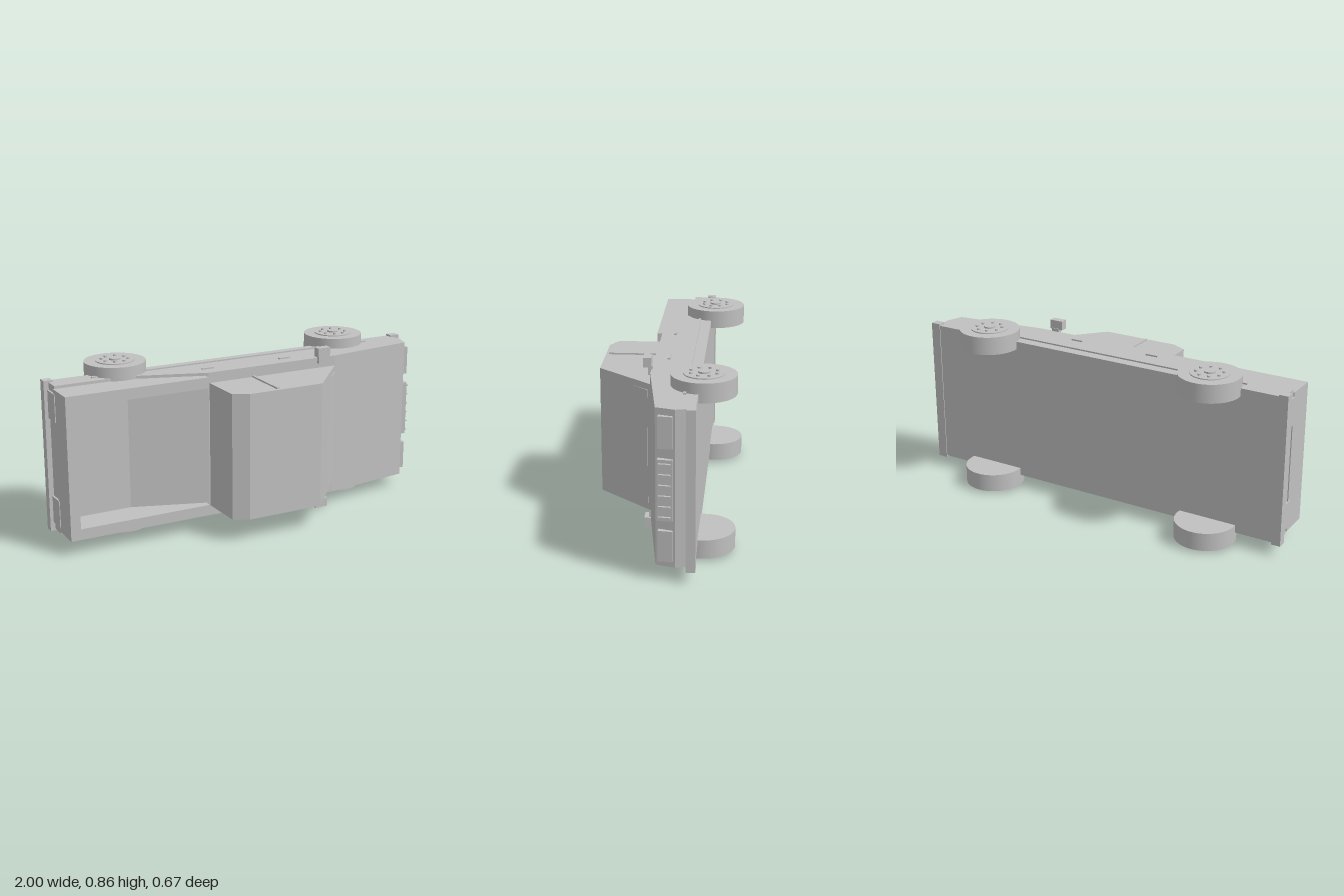
import * as THREE from 'three';

// The truck is modelled upright (x forward, y up, z across), then laid on its side.
export function createModel() {
  const paint = new THREE.MeshStandardMaterial({ color: 0xc0c0c0 });
  paint.name = 'plain grey';
  const truck = new THREE.Group();
  truck.name = 'pickupTruck';

  function add(name, geometry, x = 0, y = 0, z = 0, parent = truck) {
    const mesh = new THREE.Mesh(geometry, paint);
    mesh.name = name;
    mesh.position.set(x, y, z);
    parent.add(mesh);
    return mesh;
  }
  // Box given by its limits on each axis
  function box(name, x0, x1, y0, y1, z0, z1) {
    return add(name, new THREE.BoxGeometry(x1 - x0, y1 - y0, z1 - z0),
      (x0 + x1) / 2, (y0 + y1) / 2, (z0 + z1) / 2);
  }
  // Side profile extruded across the truck
  function prism(name, points, half) {
    const shape = new THREE.Shape(points.map(([x, y]) => new THREE.Vector2(x, y)));
    const geometry = new THREE.ExtrudeGeometry(shape, { depth: half * 2, bevelEnabled: false });
    return add(name, geometry, 0, 0, -half);
  }

  // Lower body with hood, and the cab on top
  prism('body', [[-0.975, -0.166], [0.95, -0.166], [0.972, -0.08], [0.945, 0.008],
    [0.475, 0.07], [-0.24, 0.07], [-0.61, -0.055], [-0.975, -0.055]], 0.366);
  prism('cab', [[-0.235, 0.06], [0.484, 0.06], [0.24, 0.332], [-0.155, 0.332], [-0.23, 0.293]], 0.314);
  prism('windshield', [[0.36, 0.195], [0.44, 0.08], [0.467, 0.085]], 0.283);

  // Cargo bed walls and tailgate
  box('bedRearWall', -0.965, -0.93, -0.06, 0.1, -0.352, 0.352);
  box('tailgate', -0.98, -0.965, -0.055, 0.1, -0.352, 0.352);

  // Bumpers
  box('frontBumper', 0.95, 1.0, -0.17, -0.127, -0.375, 0.375);
  box('rearBumper', -1.0, -0.955, -0.17, -0.127, -0.375, 0.375);

  // Grille with slats
  const grille = new THREE.Group();
  grille.name = 'grille';
  grille.position.set(0.968, -0.037, 0);
  grille.rotation.z = 0.12;
  truck.add(grille);
  add('grillePanel', new THREE.BoxGeometry(0.024, 0.07, 0.283), 0, 0, 0, grille);
  for (let i = 0; i < 6; i++) {
    add('grilleSlat', new THREE.BoxGeometry(0.014, 0.054, 0.006), 0.017, 0, -0.123 + i * 0.0492, grille);
  }

  for (const s of [-1, 1]) {
    // Bed side, door pillar, trim and handles
    box('bedSide', -0.965, -0.255, -0.06, 0.1, s * 0.325 - 0.027, s * 0.325 + 0.027);
    box('doorPillar', -0.003, 0.009, 0.07, 0.318, s * 0.316 - 0.006, s * 0.316 + 0.006);
    box('sideTrim', -0.77, 0.77, -0.113, -0.1, s * 0.367 - 0.006, s * 0.367 + 0.006);
    for (const x of [-0.21, 0.217]) {
      box('doorHandle', x - 0.031, x + 0.031, -0.005, 0.008, s * 0.367 - 0.006, s * 0.367 + 0.006);
    }

    // Mirror on its arm
    box('mirrorArm', 0.37, 0.41, 0.066, 0.087, s * 0.36 - 0.022, s * 0.36 + 0.022);
    box('mirror', 0.352, 0.422, 0.07, 0.108, s * 0.4 - 0.023, s * 0.4 + 0.023);

    // Lights
    add('headlight', new THREE.BoxGeometry(0.024, 0.066, 0.145), 0.966, -0.038, s * 0.263).rotation.z = 0.12;
    box('tailLight', -0.984, -0.974, -0.125, -0.035, s * 0.263 - 0.068, s * 0.263 + 0.068);

    // Wheels with rim, hub and bolts
    for (const x of [-0.617, 0.617]) {
      const wheel = new THREE.Group();
      wheel.name = 'wheel';
      wheel.position.set(x, -0.184, s * 0.372);
      wheel.rotation.x = s * Math.PI / 2;
      truck.add(wheel);
      add('tyre', new THREE.CylinderGeometry(0.15, 0.15, 0.09, 40), 0, 0, 0, wheel);
      add('rim', new THREE.CylinderGeometry(0.094, 0.094, 0.006, 32), 0, 0.047, 0, wheel);
      add('hub', new THREE.CylinderGeometry(0.028, 0.028, 0.012, 20), 0, 0.052, 0, wheel);
      for (let i = 0; i < 8; i++) {
        const a = (i + 0.5) * Math.PI / 4;
        add('bolt', new THREE.CylinderGeometry(0.008, 0.008, 0.012, 10),
          Math.cos(a) * 0.064, 0.052, Math.sin(a) * 0.064, wheel);
      }
    }
  }

  truck.rotation.x = Math.PI / 2;
  truck.position.y = 0.43;
  const model = new THREE.Group();
  model.name = 'model';
  model.add(truck);
  return model;
}
